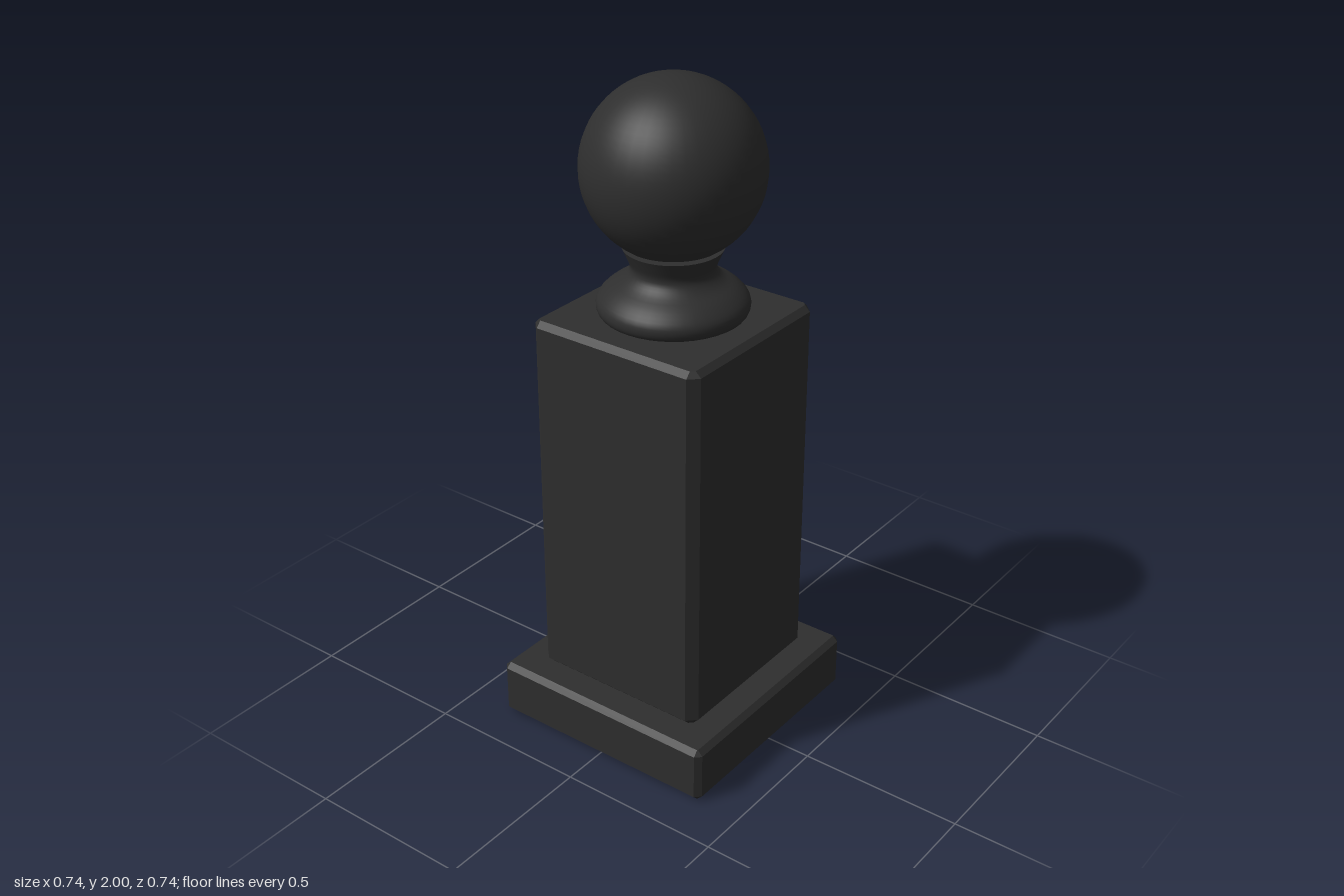
import * as THREE from 'three';
import { ConvexGeometry } from 'three/addons/geometries/ConvexGeometry.js';

const black = new THREE.MeshStandardMaterial({ color: 0x2e2e2e });
black.name = 'black paint';

// Square block with bevelled edges and clipped corners
function bevelledBlock(half, y0, y1, bevel, sideClip, endClip) {
  const points = [];
  const ring = (y, h, clip) => {
    for (const sx of [-1, 1]) for (const sz of [-1, 1]) {
      points.push(new THREE.Vector3(sx * h, y, sz * (h - clip)));
      points.push(new THREE.Vector3(sx * (h - clip), y, sz * h));
    }
  };
  ring(y0, half - bevel, endClip);
  ring(y0 + bevel, half, sideClip);
  ring(y1 - bevel, half, sideClip);
  ring(y1, half - bevel, endClip);
  return new ConvexGeometry(points);
}

export function createModel() {
  const group = new THREE.Group();
  group.name = 'bollard';
  const add = (name, geometry, y = 0) => {
    const mesh = new THREE.Mesh(geometry, black);
    mesh.name = name;
    mesh.position.y = y;
    group.add(mesh);
    return mesh;
  };

  // Plinth and shaft
  add('base', bevelledBlock(0.37, 0, 0.175, 0.016, 0.017, 0.002));
  add('column', bevelledBlock(0.285, 0.175, 1.317, 0.017, 0.028, 0.011));

  // Turned neck, flaring at the foot and under the ball
  const profile = new THREE.CatmullRomCurve3([
    [0.185, 1.315], [0.208, 1.325], [0.216, 1.345], [0.211, 1.368], [0.182, 1.398],
    [0.143, 1.423], [0.124, 1.445], [0.121, 1.463], [0.131, 1.49], [0.143, 1.517],
  ].map(([x, y]) => new THREE.Vector3(x, y, 0)));
  const neckPoints = profile.getPoints(28).map(p => new THREE.Vector2(p.x, p.y));
  add('neck', new THREE.LatheGeometry(neckPoints, 40));
  add('neckTop', new THREE.CircleGeometry(0.143, 40).rotateX(-Math.PI / 2), 1.517);

  // Ball with a flat underside, just clear of the neck
  const radius = 0.257, centre = 1.743, cutY = 1.527;
  const cutAngle = Math.acos((cutY - centre) / radius);
  add('ball', new THREE.SphereGeometry(radius, 40, 28, 0, Math.PI * 2, 0, cutAngle), centre);
  add('ballUnderside', new THREE.CircleGeometry(radius * Math.sin(cutAngle), 40).rotateX(Math.PI / 2), cutY);

  return group;
}
